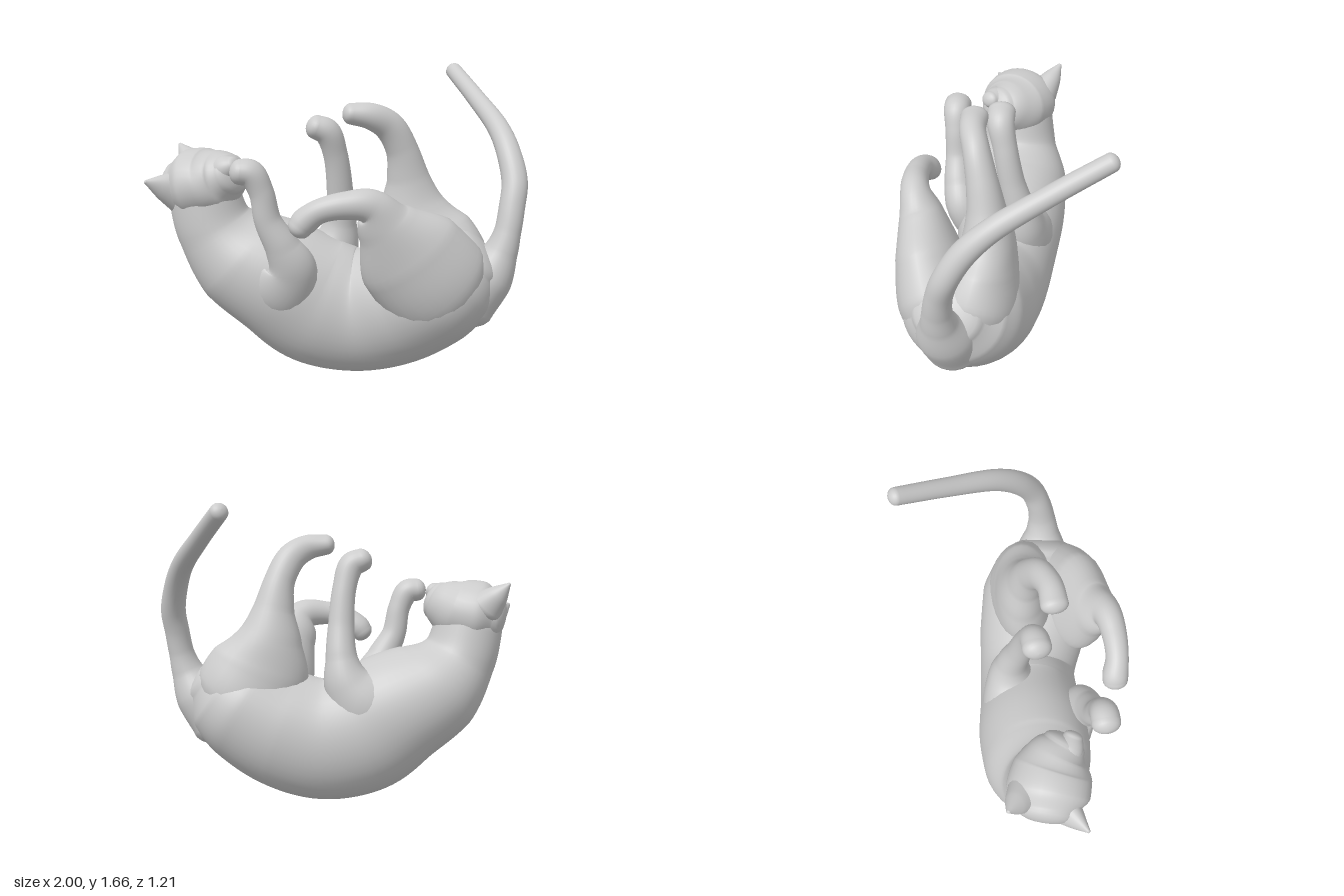
import * as THREE from 'three';

const material = new THREE.MeshStandardMaterial({ color: 0xcccccc, roughness: 0.8 });

// Smooth rounded skin over elliptical sections [x, y, z, radius in the xy plane, radius towards z]
function skin(name, sections, { cap = 0.8, steps = 8, sides = 28 } = {}) {
  const path = new THREE.CatmullRomCurve3(sections.map(s => new THREE.Vector3(s[0], s[1], s[2])));
  const radii = new THREE.CatmullRomCurve3(sections.map(s => new THREE.Vector3(s[3], s[4], 0)));
  const rings = [];
  const addRing = (t, scale, shift) => {
    const tangent = path.getTangent(t), r = radii.getPoint(t);
    const v = new THREE.Vector3(0, 0, 1).addScaledVector(tangent, -tangent.z).normalize();
    const u = v.clone().cross(tangent);
    const centre = path.getPoint(t).addScaledVector(tangent, shift * cap * Math.min(r.x, r.y));
    rings.push({ centre, u, v, a: r.x * scale, b: r.y * scale });
  };
  const capSteps = 6, count = (sections.length - 1) * steps;
  for (let k = 0; k < capSteps; k++) {
    const a = (k / capSteps) * Math.PI / 2;
    addRing(0, Math.max(0.01, Math.sin(a)), -Math.cos(a));
  }
  for (let i = 0; i <= count; i++) addRing(i / count, 1, 0);
  for (let k = capSteps - 1; k >= 0; k--) {
    const a = (k / capSteps) * Math.PI / 2;
    addRing(1, Math.max(0.01, Math.sin(a)), Math.cos(a));
  }
  const positions = [], index = [];
  rings.forEach(({ centre, u, v, a, b }, i) => {
    for (let j = 0; j < sides; j++) {
      const angle = (j / sides) * Math.PI * 2;
      const p = centre.clone().addScaledVector(u, a * Math.cos(angle)).addScaledVector(v, b * Math.sin(angle));
      positions.push(p.x, p.y, p.z);
      if (i === rings.length - 1) continue;
      const k = (j + 1) % sides, row = i * sides, next = row + sides;
      index.push(row + j, row + k, next + k, row + j, next + k, next + j);
    }
  });
  const geometry = new THREE.BufferGeometry();
  geometry.setAttribute('position', new THREE.Float32BufferAttribute(positions, 3));
  geometry.setIndex(index);
  geometry.computeVertexNormals();
  const mesh = new THREE.Mesh(geometry, material);
  mesh.name = name;
  return mesh;
}

export function createModel() {
  const cat = new THREE.Group();
  cat.name = 'cat';

  // Curled torso, from the neck round the back to the rump
  cat.add(skin('torso', [
    [-0.73, 1.00, 0.13, 0.19, 0.19],
    [-0.67, 0.80, 0.12, 0.21, 0.22],
    [-0.54, 0.645, 0.10, 0.285, 0.29],
    [-0.31, 0.51, 0.09, 0.335, 0.31],
    [-0.11, 0.39, 0.08, 0.36, 0.29],
    [0.10, 0.345, 0.075, 0.345, 0.28],
    [0.32, 0.40, 0.11, 0.335, 0.31],
    [0.53, 0.52, 0.16, 0.315, 0.33],
    [0.67, 0.62, 0.18, 0.26, 0.28],
    [0.75, 0.68, 0.185, 0.17, 0.19],
  ], { cap: 0.4, sides: 40 }));

  // Head: blunt skull, muzzle and ears
  const head = new THREE.Group();
  head.name = 'head';
  head.add(
    skin('skull', [
      [-0.86, 1.02, 0.11, 0.14, 0.16],
      [-0.77, 1.04, 0.13, 0.19, 0.215],
      [-0.67, 1.06, 0.16, 0.18, 0.205],
      [-0.60, 1.09, 0.19, 0.145, 0.16],
      [-0.555, 1.11, 0.22, 0.11, 0.115],
    ], { cap: 0.5, sides: 32 }),
    skin('muzzle', [
      [-0.64, 1.10, 0.19, 0.09, 0.10],
      [-0.57, 1.145, 0.245, 0.07, 0.075],
      [-0.53, 1.165, 0.265, 0.045, 0.05],
    ], { cap: 0.6 }),
    skin('rightEar', [
      [-0.80, 1.10, 0.00, 0.10, 0.085],
      [-0.855, 1.165, -0.04, 0.06, 0.055],
      [-0.905, 1.225, -0.075, 0.01, 0.012],
    ]),
    skin('leftEar', [
      [-0.84, 1.01, 0.20, 0.12, 0.09],
      [-0.92, 1.045, 0.26, 0.07, 0.05],
      [-0.99, 1.075, 0.315, 0.012, 0.01],
    ]),
  );
  cat.add(head);

  // Front legs, raised from the shoulders and bent at the paws
  cat.add(skin('leftFrontLeg', [
    [-0.42, 0.40, 0.15, 0.16, 0.13],
    [-0.31, 0.51, 0.255, 0.205, 0.155],
    [-0.22, 0.64, 0.35, 0.135, 0.11],
    [-0.26, 0.76, 0.39, 0.092, 0.085],
    [-0.33, 0.90, 0.41, 0.07, 0.07],
    [-0.36, 1.05, 0.42, 0.064, 0.066],
    [-0.41, 1.145, 0.43, 0.07, 0.074],
    [-0.465, 1.155, 0.435, 0.066, 0.076],
  ]));
  cat.add(skin('rightFrontLeg', [
    [-0.26, 0.40, 0.04, 0.17, 0.14],
    [-0.14, 0.54, -0.01, 0.21, 0.18],
    [-0.03, 0.69, -0.03, 0.135, 0.13],
    [0.00, 0.82, -0.02, 0.088, 0.09],
    [0.00, 1.00, 0.02, 0.072, 0.07],
    [-0.02, 1.20, 0.06, 0.066, 0.066],
    [-0.06, 1.32, 0.09, 0.071, 0.073],
    [-0.12, 1.35, 0.10, 0.064, 0.076],
  ]));

  // Hind legs: broad thighs running into slim shins and paws
  cat.add(skin('leftHindLeg', [
    [0.66, 0.43, 0.21, 0.19, 0.15],
    [0.53, 0.56, 0.30, 0.295, 0.21],
    [0.385, 0.74, 0.38, 0.28, 0.175],
    [0.27, 0.90, 0.45, 0.155, 0.12],
    [0.20, 1.00, 0.50, 0.09, 0.08],
    [0.08, 1.01, 0.53, 0.07, 0.068],
    [-0.05, 0.98, 0.54, 0.062, 0.062],
    [-0.125, 0.925, 0.53, 0.068, 0.07],
    [-0.15, 0.895, 0.53, 0.062, 0.068],
  ]));
  cat.add(skin('rightHindLeg', [
    [0.62, 0.46, 0.12, 0.20, 0.16],
    [0.53, 0.60, 0.085, 0.29, 0.22],
    [0.44, 0.77, 0.06, 0.275, 0.17],
    [0.395, 0.92, 0.055, 0.185, 0.135],
    [0.37, 1.08, 0.07, 0.115, 0.10],
    [0.335, 1.24, 0.10, 0.085, 0.08],
    [0.27, 1.36, 0.14, 0.08, 0.07],
    [0.18, 1.415, 0.18, 0.07, 0.068],
    [0.075, 1.43, 0.195, 0.056, 0.072],
  ]));

  // Tail, growing out of the rump and sweeping up and away behind
  cat.add(skin('tail', [
    [0.68, 0.47, 0.18, 0.19, 0.18],
    [0.80, 0.60, 0.19, 0.145, 0.15],
    [0.865, 0.72, 0.195, 0.09, 0.095],
    [0.897, 0.83, 0.19, 0.07, 0.075],
    [0.915, 0.95, 0.17, 0.068, 0.068],
    [0.928, 1.07, 0.13, 0.068, 0.066],
    [0.90, 1.21, 0.05, 0.064, 0.064],
    [0.85, 1.33, -0.07, 0.058, 0.058],
    [0.73, 1.48, -0.32, 0.05, 0.05],
    [0.61, 1.615, -0.57, 0.046, 0.046],
  ]));

  return cat;
}
